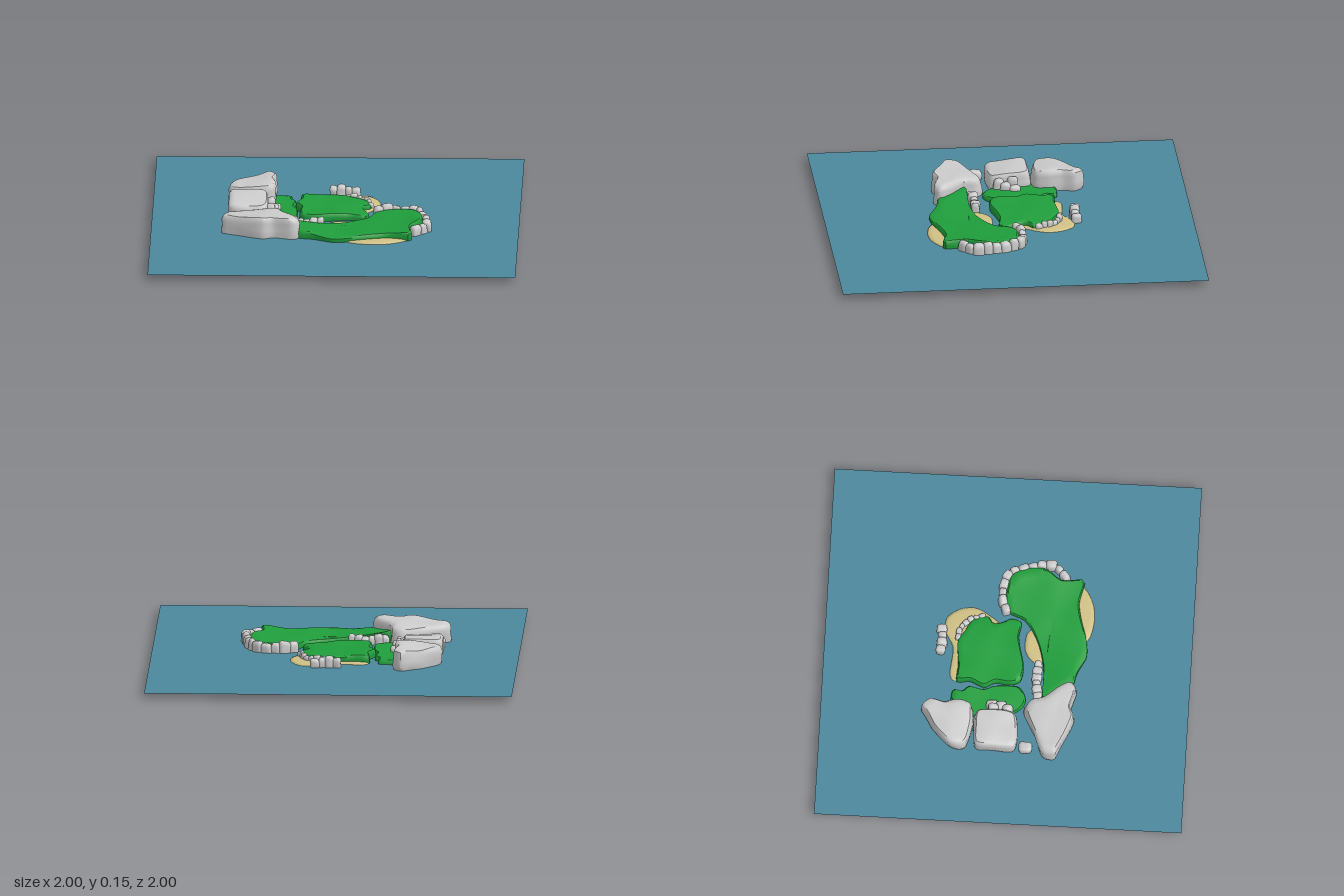
import * as THREE from 'three';
import { mergeVertices, toCreasedNormals } from 'three/addons/utils/BufferGeometryUtils.js';

const mat = (color) => new THREE.MeshStandardMaterial({ color });
const WATER = mat(0x4b879c), GRASS = mat(0x1f9e3c), SAND = mat(0xd0c184), STONE = mat(0xcccccc);

// Smooth deterministic unevenness in the range -1..1
const bump = (x, y, z) =>
  (Math.sin(x * 23 + z * 11 + 1) + Math.sin(z * 27 - x * 9 + y * 17) + Math.sin(y * 31 + x * 14 + 2)) / 3;

// Steps of [outline scale, height fraction] from foot to middle of the top
const LAND = [[0.98, 0], [1, 0.5], [0.99, 0.85], [0.95, 1], [0.82, 1], [0.65, 1], [0.45, 1], [0.22, 1], [0, 1]];
const CLIFF = [[0.95, 0], [1, 0.2], [0.99, 0.45], [0.99, 0.7], [0.96, 0.88], [0.88, 0.98], [0.7, 1], [0.4, 1], [0, 1]];
const BEACH = [[1, 0], [0.97, 0.6], [0.9, 0.9], [0.6, 1], [0, 1]];

// Open-bottomed plateau over a closed outline [[x, z]...]; base and top are functions of x, z
function plateau(name, material, outline, centre, profile, base, top, rough) {
  const n = 72;
  const curve = new THREE.CatmullRomCurve3(outline.map(([x, z]) => new THREE.Vector3(x, 0, z)), true, 'catmullrom', 0.4);
  const rim = curve.getSpacedPoints(n).slice(0, n);
  const area = rim.reduce((s, p, i) => { const q = rim[(i + 1) % n]; return s + p.x * q.z - q.x * p.z; }, 0);
  if (area > 0) rim.reverse();
  const pos = [], index = [];
  profile.forEach(([scale, f], i) => rim.forEach((p, j) => {
    const x0 = centre[0] + (p.x - centre[0]) * scale, z0 = centre[1] + (p.z - centre[1]) * scale;
    const lo = base(x0, z0), y = lo + (top(x0, z0) - lo) * f;
    const side = scale > 0.9 ? 1 + rough * 1.5 * bump(x0, y * 2, z0) : 1;
    pos.push(centre[0] + (x0 - centre[0]) * side, y + f * rough * 0.3 * bump(x0, 0.3, z0), centre[1] + (z0 - centre[1]) * side);
    if (i + 1 < profile.length) {
      const k = (j + 1) % n, a = i * n + j, b = i * n + k, c = b + n, d = a + n;
      index.push(a, b, c);
      if (profile[i + 1][0] > 0) index.push(a, c, d);
      else index.splice(-3, 3, a, b, d);
    }
  }));
  const g = new THREE.BufferGeometry();
  g.setAttribute('position', new THREE.Float32BufferAttribute(pos, 3));
  g.setIndex(index);
  const mesh = new THREE.Mesh(toCreasedNormals(g, 0.75), material);
  mesh.name = name;
  return mesh;
}

// Blocky boulder: a sphere pushed towards a box, then roughened
function boulder(name, x, z, sx, sz, y0, y1, turn = 0) {
  let g = new THREE.IcosahedronGeometry(1, 3);
  g.deleteAttribute('normal');
  g.deleteAttribute('uv');
  g = mergeVertices(g);
  const p = g.attributes.position, v = new THREE.Vector3();
  for (let i = 0; i < p.count; i++) {
    v.fromBufferAttribute(p, i);
    const m = Math.pow(v.x ** 4 + v.y ** 4 + v.z ** 4, -0.25);
    v.multiplyScalar(m * (1 + 0.1 * bump(v.x * 0.13 + x * 5, v.y * 0.13, v.z * 0.13 + z * 5)));
    p.setXYZ(i, v.x * sx / 2, v.y * (y1 - y0) / 2, v.z * sz / 2);
  }
  g.computeVertexNormals();
  const mesh = new THREE.Mesh(g, STONE);
  mesh.name = name;
  mesh.position.set(x, (y0 + y1) / 2, z);
  mesh.rotation.y = turn;
  return mesh;
}

// Row of boulders along a path
function boulderRow(name, path, count, wide, deep, y0, y1) {
  const row = new THREE.Group();
  row.name = name;
  const curve = new THREE.CatmullRomCurve3(path.map(([x, z]) => new THREE.Vector3(x, 0, z)));
  for (let i = 0; i < count; i++) {
    const u = i / (count - 1), p = curve.getPointAt(u), t = curve.getTangentAt(u);
    const s = 1 + 0.15 * Math.sin(i * 2.3);
    row.add(boulder('boulder', p.x, p.z, wide * s, deep * s, y0, y1 + 0.008 * Math.sin(i * 1.7), Math.atan2(-t.z, t.x)));
  }
  return row;
}

export function createModel() {
  const model = new THREE.Group();
  model.name = 'island';
  const flat = (y) => () => y;

  // Sea
  const sea = new THREE.Mesh(new THREE.PlaneGeometry(2, 2).rotateX(-Math.PI / 2), WATER);
  sea.material.side = THREE.DoubleSide;
  sea.position.y = 0.052;
  sea.name = 'sea';
  model.add(sea);

  // Beaches
  const beach = (name, outline, centre) =>
    model.add(plateau(name, SAND, outline, centre, BEACH, flat(0.05), flat(0.061), 0));
  beach('northBeach', [[-0.19, -0.28], [-0.15, -0.31], [0, -0.3], [0.1, -0.35], [0.18, -0.34], [0.23, -0.27],
    [0.24, -0.19], [0.2, -0.11], [0.12, -0.05], [-0.15, -0.2]], [0.05, -0.2]);
  beach('innerBeach', [[-0.07, 0.18], [-0.04, 0.12], [0.02, 0.09], [0.11, 0.1], [0.14, 0.16], [0.04, 0.22]], [0.03, 0.15]);
  beach('southBeach', [[0.04, 0.38], [0.1, 0.44], [0.2, 0.46], [0.29, 0.45], [0.37, 0.41], [0.4, 0.36], [0.2, 0.32]], [0.22, 0.39]);

  // Grass
  model.add(plateau('mainGrass', GRASS, [[-0.32, 0.21], [-0.2, 0.2], [-0.1, 0.2], [0.01, 0.175], [0.1, 0.135], [0.18, 0.08],
    [0.22, -0.01], [0.3, -0.03], [0.42, -0.01], [0.46, 0.06], [0.47, 0.18], [0.41, 0.27], [0.42, 0.38], [0.4, 0.395],
    [0.3, 0.375], [0.2, 0.39], [0.08, 0.42], [-0.02, 0.43], [-0.12, 0.38], [-0.22, 0.35]], [0.2, 0.23], LAND,
  (x, z) => 0.042 - 0.04 * Math.exp(-((x - 0.43) ** 2 + (z - 0.3) ** 2) / 0.0012),
  (x) => 0.079 + 0.24 * (x - 0.1) ** 2, 0.018));
  model.add(plateau('northGrass', GRASS, [[-0.195, -0.27], [-0.1, -0.265], [0.03, -0.275], [0.09, -0.24], [0.17, -0.19],
    [0.19, -0.12], [0.15, -0.09], [0.155, -0.04], [0.18, 0.01], [0.16, 0.065], [0.08, 0.055], [0, 0.07], [-0.1, 0.095],
    [-0.18, 0.08], [-0.2, 0.02], [-0.19, -0.06], [-0.22, -0.12], [-0.19, -0.2]], [-0.03, -0.09], LAND,
  flat(0.045), (x) => 0.094 - 0.07 * Math.max(0, x), 0.018));
  model.add(plateau('westGrass', GRASS, [[-0.4, -0.29], [-0.25, -0.29], [-0.25, -0.24], [-0.22, -0.2], [-0.235, -0.12],
    [-0.21, -0.05], [-0.21, 0.07], [-0.28, 0.11], [-0.34, 0.08], [-0.42, -0.05], [-0.43, -0.2]], [-0.32, -0.1], LAND,
  flat(0.02), flat(0.076), 0.012));

  // Cliffs
  const cliff = (name, outline, centre, base, top) =>
    model.add(plateau(name, STONE, outline, centre, CLIFF, flat(base), top, 0.035));
  cliff('northCliff', [[-0.37, -0.45], [-0.33, -0.4], [-0.345, -0.33], [-0.33, -0.25], [-0.35, -0.18], [-0.45, -0.17],
    [-0.57, -0.195], [-0.59, -0.24], [-0.57, -0.3], [-0.49, -0.38], [-0.42, -0.42]], [-0.44, -0.28], 0.047,
  (x) => 0.165 + 0.05 * (x + 0.45));
  cliff('middleCliff', [[-0.58, -0.15], [-0.48, -0.16], [-0.38, -0.15], [-0.365, -0.05], [-0.38, 0.06], [-0.5, 0.08],
    [-0.58, 0.06], [-0.585, -0.05]], [-0.48, -0.04], 0.047, (x, z) => 0.15 - 0.1 * z);
  cliff('southCliff', [[-0.615, 0.28], [-0.6, 0.22], [-0.5, 0.17], [-0.36, 0.11], [-0.3, 0.14], [-0.285, 0.21],
    [-0.22, 0.29], [-0.19, 0.35], [-0.23, 0.385], [-0.33, 0.36], [-0.39, 0.38], [-0.48, 0.35], [-0.59, 0.3]],
  [-0.4, 0.26], 0.038, (x, z) => 0.145 + 0.1 * (z - 0.1));

  // Steps beside the middle cliff
  [[-0.355, -0.06, 0.14], [-0.335, -0.02, 0.115], [-0.355, 0.015, 0.13], [-0.325, -0.07, 0.1]].forEach(([x, z, y]) =>
    model.add(boulder('cliffStep', x, z, 0.05, 0.06, 0.045, y)));

  // Loose rocks and sea walls
  model.add(boulder('seaRock', -0.56, 0.125, 0.06, 0.07, 0.04, 0.1));
  model.add(boulderRow('eastWall', [[0.23, -0.025], [0.29, -0.045], [0.38, -0.04], [0.44, -0.015], [0.47, 0.06],
    [0.495, 0.16], [0.495, 0.23], [0.44, 0.285]], 12, 0.055, 0.045, 0.028, 0.108));
  model.add(boulderRow('innerWall', [[-0.26, 0.175], [-0.18, 0.165], [-0.08, 0.17]], 6, 0.045, 0.05, 0.04, 0.1));
  model.add(boulderRow('northWall', [[0.06, -0.275], [0.11, -0.265], [0.16, -0.22], [0.185, -0.15]], 7, 0.035, 0.028, 0.046, 0.088));
  model.add(boulderRow('northRocks', [[-0.02, -0.365], [0.04, -0.36], [0.1, -0.365]], 4, 0.045, 0.052, 0.042, 0.105));
  return model;
}
